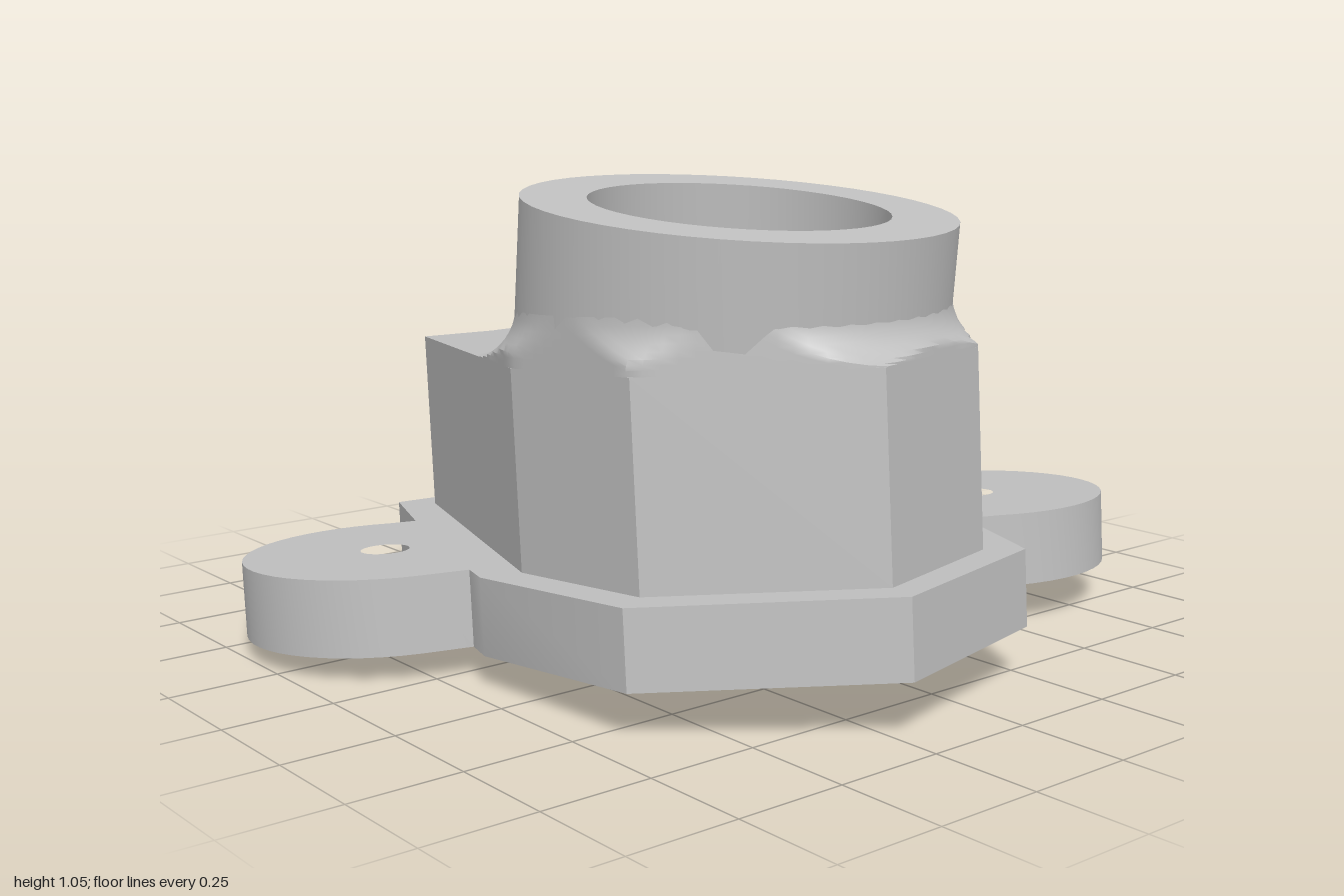
import * as THREE from 'three';
import { toCreasedNormals } from 'three/addons/utils/BufferGeometryUtils.js';
import { ParametricGeometry } from 'three/addons/geometries/ParametricGeometry.js';

const grey = new THREE.MeshStandardMaterial({ color: 0xc0c0c0 });
grey.name = 'machined grey';

const TILT = 0.067;          // slope of the base
const BOSS_TILT = 0.162;     // boss axis relative to the base
const SHEAR = Math.tan(BOSS_TILT);
const PLATE_H = 0.17, BODY_H = 0.607;
const BOSS = { x: -0.133, z: 0.29, r: 0.475, fillet: 0.115 };
const HOLE_R = 0.056;

// Body outline as [x, z]
const bodyOutline = [
  [-0.278, -0.756], [-0.09, -0.729], [0.508, -0.839], [0.767, -0.5],
  [0.17, 0.745], [-0.215, 0.855], [-0.595, 0.53], [-0.617, 0.148],
];

function mesh(name, geometry, crease = 0.5) {
  const m = new THREE.Mesh(toCreasedNormals(geometry, crease), grey);
  m.name = name;
  return m;
}

// Points of an arc in the xz plane, angles in degrees
function arc(cx, cz, r, from, to, n) {
  return Array.from({ length: n + 1 }, (_, i) => {
    const a = THREE.MathUtils.degToRad(from + (to - from) * i / n);
    return [cx + r * Math.cos(a), cz + r * Math.sin(a)];
  });
}

// Upright slab from an xz outline with round holes [x, z, radius]
function slab(outline, holes, y0, y1) {
  const flat = (pts) => pts.map(([x, z]) => new THREE.Vector2(x, -z));
  const shape = new THREE.Shape(flat(outline));
  for (const [x, z, r] of holes) {
    shape.holes.push(new THREE.Path(flat(arc(x, z, r, 0, 345, 23))));
  }
  const g = new THREE.ExtrudeGeometry(shape, { depth: y1 - y0, bevelEnabled: false });
  return g.rotateX(-Math.PI / 2).translate(0, y0, 0);
}

// Distance from (cx, cz) to the body outline along direction a
function reach(cx, cz, a) {
  const dx = Math.cos(a), dz = Math.sin(a);
  let best = Infinity;
  bodyOutline.forEach(([x, z], i) => {
    const [x2, z2] = bodyOutline[(i + 1) % bodyOutline.length];
    const ex = x2 - x, ez = z2 - z, det = dx * ez - dz * ex;
    if (Math.abs(det) < 1e-9) return;
    const t = ((x - cx) * ez - (z - cz) * ex) / det;
    const s = ((x - cx) * dz - (z - cz) * dx) / det;
    if (t > 0 && s >= 0 && s <= 1) best = Math.min(best, t);
  });
  return best;
}

export function createModel() {
  const model = new THREE.Group();
  model.name = 'housing';
  const base = new THREE.Group();
  base.name = 'tiltedBase';
  base.position.y = 0.067;
  base.rotation.x = -TILT;
  model.add(base);

  // Flange plate with two round mounting ears
  const plateOutline = [
    [-0.33, -0.852], [-0.09, -0.819], [0.54, -0.934], [0.868, -0.509],
    [0.685, -0.096],
    ...arc(0.67, 0.24, 0.33, -86, 125, 28),
    [0.406, 0.476], [0.23, 0.811], [-0.246, 0.938], [-0.674, 0.578],
    [-0.703, 0.118], [-0.674, 0.031],
    ...arc(-0.67, -0.315, 0.33, 110, 300, 26),
    [-0.444, -0.577],
  ];
  const drainZ = BOSS.z - SHEAR * BODY_H;
  const plateGeo = slab(plateOutline, [
    [0.672, 0.25, HOLE_R], [-0.679, -0.319, HOLE_R], [BOSS.x, drainZ, HOLE_R + 0.002],
  ], 0, PLATE_H);
  // Lean the centre hole along the boss axis
  const p = plateGeo.attributes.position;
  for (let i = 0; i < p.count; i++) {
    if (Math.hypot(p.getX(i) - BOSS.x, p.getZ(i) - drainZ) < 0.1) {
      p.setZ(i, p.getZ(i) + SHEAR * p.getY(i));
    }
  }
  base.add(mesh('flangePlate', plateGeo));

  // Main body, cored out around the centre hole
  base.add(mesh('body', slab(bodyOutline, [[BOSS.x, 0.25, 0.2]], PLATE_H, BODY_H), 0.03));

  // Fillet between boss and body, trimmed to the body outline
  const fillet = new ParametricGeometry((u, v, out) => {
    const a = u * Math.PI * 2, phi = v * Math.PI / 2, f = BOSS.fillet;
    const h = f - f * Math.sin(phi);
    const cz = BOSS.z + SHEAR * h;
    const r = Math.min(BOSS.r + f - f * Math.cos(phi), reach(BOSS.x, cz, a));
    out.set(BOSS.x + r * Math.cos(a), BODY_H + h, cz + r * Math.sin(a));
  }, 96, 10);
  base.add(mesh('bossFillet', fillet, 0.6));

  // Round boss with a shallow bore and a narrow through hole
  const profile = [
    [BOSS.r, 0.02], [BOSS.r, 0.321], [0.33, 0.321],
    [0.33, 0.121], [HOLE_R, 0.121], [HOLE_R, -0.6],
  ].map(([x, y]) => new THREE.Vector2(x, y));
  const boss = mesh('boss', new THREE.LatheGeometry(profile, 48));
  boss.position.set(BOSS.x, BODY_H, BOSS.z);
  boss.rotation.x = BOSS_TILT;
  base.add(boss);

  return model;
}
